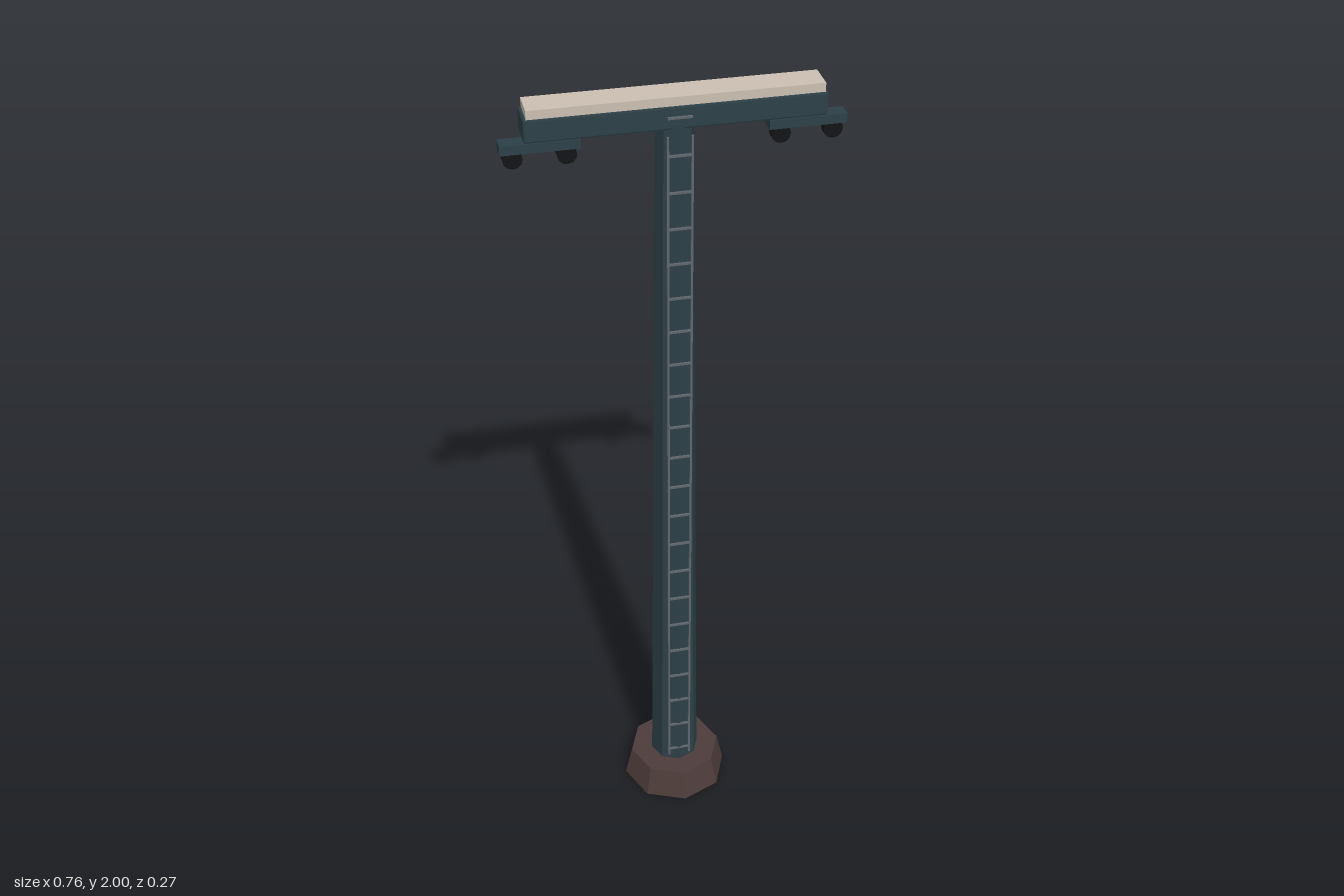
import * as THREE from 'three';
import { RoundedBoxGeometry } from 'three/addons/geometries/RoundedBoxGeometry.js';

const paint = (name, color) => {
  const m = new THREE.MeshStandardMaterial({ color, flatShading: true });
  m.name = name;
  return m;
};

export function createModel() {
  const steel = paint('dark teal steel', 0x2c4047);
  const footing = paint('brown footing', 0x4d3c3a);
  const cream = paint('cream panel', 0xcbbfb1);
  const rubber = paint('black rubber', 0x111416);
  const metal = paint('grey metal', 0x5f666c);

  const model = new THREE.Group();
  model.name = 'pylon';
  const add = (parent, name, geometry, material, x, y, z) => {
    const mesh = new THREE.Mesh(geometry, material);
    mesh.name = name;
    mesh.position.set(x, y, z);
    parent.add(mesh);
    return mesh;
  };

  // Octagonal footing and tapered mast
  add(model, 'footing', new THREE.CylinderGeometry(0.118, 0.136, 0.08, 8), footing, 0, 0.04, 0);
  add(model, 'mast', new THREE.CylinderGeometry(0.043, 0.062, 1.87, 8), steel, 0, 1.005, 0);

  // Crossbeam with its cover panel
  add(model, 'crossbeam', new RoundedBoxGeometry(0.66, 0.055, 0.075, 1, 0.005), steel, 0, 1.953, 0);
  add(model, 'coverPanel', new THREE.BoxGeometry(0.646, 0.022, 0.07), cream, 0, 1.989, 0);

  // Wheel carriers under both ends of the beam
  const wheel = new THREE.CylinderGeometry(0.022, 0.022, 0.022, 12).rotateX(Math.PI / 2);
  for (const side of [-1, 1]) {
    const carrier = new THREE.Group();
    carrier.name = side > 0 ? 'leftWheelCarrier' : 'rightWheelCarrier';
    add(carrier, 'carrierBar', new THREE.BoxGeometry(0.174, 0.021, 0.039), steel, side * 0.293, 1.906, 0);
    for (const x of [0.235, 0.352]) add(carrier, 'wheel', wheel, rubber, side * x, 1.88, 0);
    model.add(carrier);
  }

  // Service ladder on the front of the mast
  const ladder = new THREE.Group();
  ladder.name = 'ladder';
  for (const side of [-1, 1]) {
    add(ladder, 'ladderRail', new THREE.BoxGeometry(0.005, 1.82, 0.006), metal, side * 0.027, 1.01, 0.058);
  }
  const rung = new THREE.BoxGeometry(0.054, 0.005, 0.005);
  for (let i = 0; i < 22; i++) add(ladder, 'rung', rung, metal, 0, 0.12 + i * 0.0878, 0.059);
  model.add(ladder);

  return model;
}
